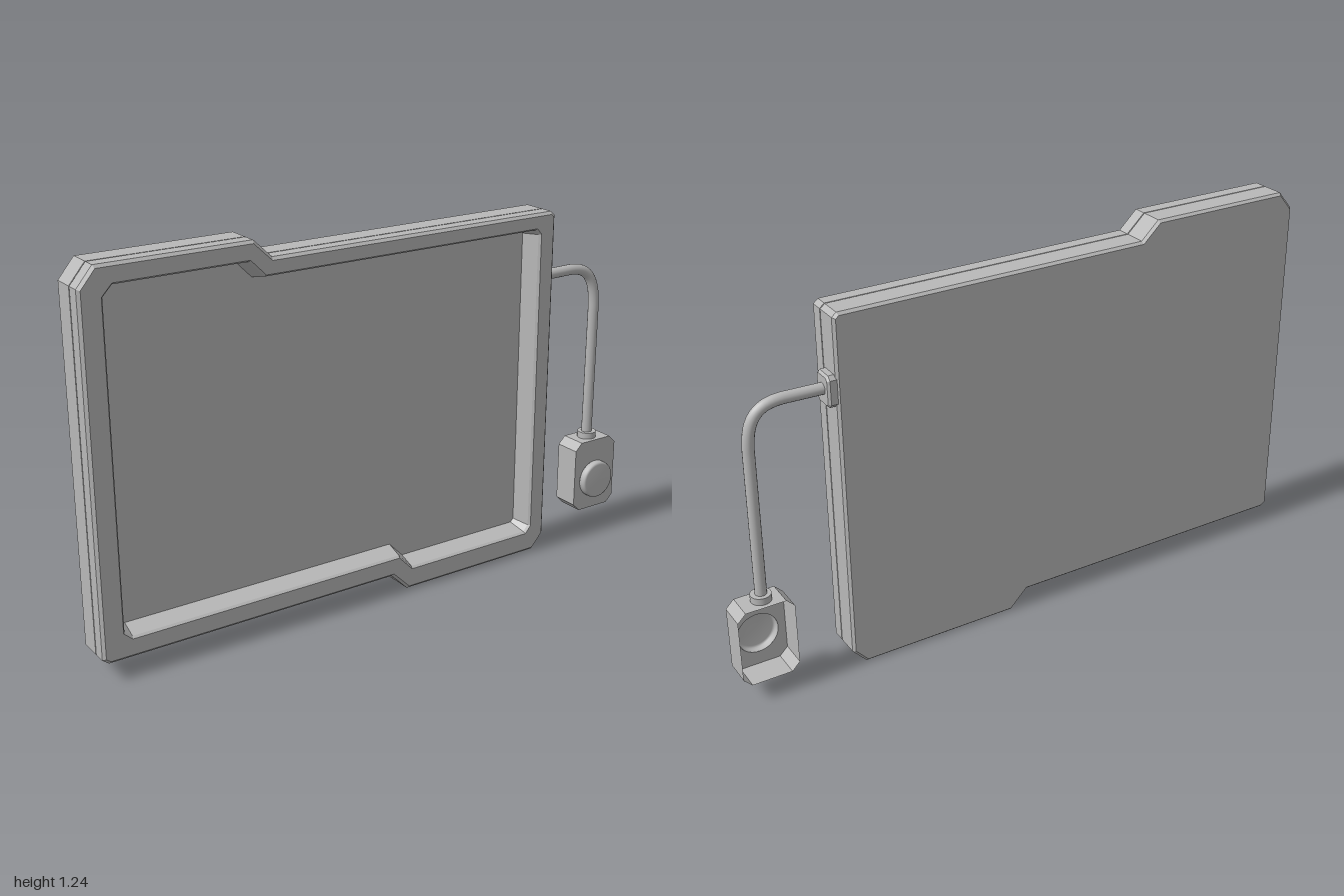
import * as THREE from 'three';

const V = (x, y) => new THREE.Vector2(x, y);

// Move every edge of a counter-clockwise outline inwards by d, with mitred corners.
function inset(points, d) {
  const n = points.length;
  return points.map((p, i) => {
    const e0 = p.clone().sub(points[(i + n - 1) % n]).normalize();
    const e1 = points[(i + 1) % n].clone().sub(p).normalize();
    const n0 = V(-e0.y, e0.x), n1 = V(-e1.y, e1.x);
    return p.clone().add(n0.clone().add(n1).multiplyScalar(d / (1 + n0.dot(n1))));
  });
}

// Join outlines, each { pts, z }, from back to front; optionally close the ends.
function loft(loops, capStart, capEnd) {
  const pos = [];
  const put = (l, i) => pos.push(l.pts[i].x, l.pts[i].y, l.z);
  for (let k = 0; k + 1 < loops.length; k++) {
    const a = loops[k], b = loops[k + 1], n = a.pts.length;
    for (let i = 0; i < n; i++) {
      const j = (i + 1) % n;
      put(a, i); put(a, j); put(b, j);
      put(a, i); put(b, j); put(b, i);
    }
  }
  const cap = (l, flip) => {
    for (const [a, b, c] of THREE.ShapeUtils.triangulateShape(l.pts, [])) {
      put(l, a); put(l, flip ? c : b); put(l, flip ? b : c);
    }
  };
  if (capStart) cap(loops[0], true);
  if (capEnd) cap(loops[loops.length - 1], false);
  const g = new THREE.BufferGeometry();
  g.setAttribute('position', new THREE.Float32BufferAttribute(pos, 3));
  g.computeVertexNormals();
  return g;
}

// Rectangle with cut corners, counter-clockwise.
function cutRect(w, h, c) {
  const x = w / 2, y = h / 2;
  return [V(-x + c, -y), V(x - c, -y), V(x, -y + c), V(x, y - c),
    V(x - c, y), V(-x + c, y), V(-x, y - c), V(-x, -y + c)];
}

export function createModel() {
  const model = new THREE.Group();
  const grey = new THREE.MeshStandardMaterial({ color: 0xb8b8b8, side: THREE.DoubleSide });
  grey.name = 'plain grey';
  const add = (name, geometry, x = 0, y = 0, z = 0) => {
    const m = new THREE.Mesh(geometry, grey);
    m.name = name;
    m.position.set(x, y, z);
    model.add(m);
    return m;
  };

  // Stepped panel outline and the opening in its frame
  const outer = [V(-0.98, 0.06), V(0.01, 0.06), V(0.07, 0), V(0.595, 0), V(0.64, 0.05),
    V(0.64, 1.165), V(0.625, 1.178), V(-0.405, 1.178), V(-0.465, 1.235), V(-0.95, 1.235),
    V(-1, 1.175), V(-1, 0.075)];
  const inner = [V(-0.905, 0.12), V(0.035, 0.12), V(0.085, 0.068), V(0.56, 0.068), V(0.582, 0.092),
    V(0.582, 1.11), V(0.565, 1.13), V(-0.43, 1.13), V(-0.48, 1.18), V(-0.9, 1.18),
    V(-0.933, 1.145), V(-0.933, 0.145)];
  const at = (pts, d, z) => ({ pts: inset(pts, d), z });

  add('backShell', loft([at(outer, 0.008, -0.064), at(outer, 0, -0.055),
    at(outer, 0, 0.016), at(outer, 0.005, 0.018)], true, false));
  add('frontFrame', loft([at(outer, 0.005, 0.018), at(outer, 0, 0.02), at(outer, 0, 0.061),
    at(outer, 0.009, 0.07), at(inner, 0, 0.07), at(inner, 0.006, 0.062), at(inner, 0.02, 0)],
  false, true));

  // Cable socket on the side of the panel
  const socket = cutRect(0.078, 0.1, 0.012);
  add('cableSocket', loft([at(socket, 0, -0.005), at(socket, 0, 0.018), at(socket, 0.007, 0.025)],
    false, true), 0.64, 0.94, -0.02).rotation.y = Math.PI / 2;

  // Hanging cable
  const path = new THREE.CurvePath();
  const P = (x, y, z) => new THREE.Vector3(x, y, z);
  path.add(new THREE.LineCurve3(P(0.65, 0.942, -0.02), P(0.78, 0.944, -0.018)));
  path.add(new THREE.CubicBezierCurve3(P(0.78, 0.944, -0.018), P(0.865, 0.945, -0.017),
    P(0.897, 0.905, -0.014), P(0.898, 0.8, -0.014)));
  path.add(new THREE.LineCurve3(P(0.898, 0.8, -0.014), P(0.905, 0.33, -0.024)));
  add('cable', new THREE.TubeGeometry(path, 60, 0.018, 16));
  add('cableCollar', new THREE.CylinderGeometry(0.032, 0.032, 0.026, 24), 0.906, 0.329, -0.024);

  // Hollow control box, open at the back, with a round hole for the button
  const bx = 0.91, by = 0.193;
  const box = cutRect(0.18, 0.254, 0.026);
  add('controlBoxSides', loft([at(box, 0, -0.07), at(box, 0, 0.021)], false, false), bx, by);
  const face = new THREE.Shape(box);
  const hole = new THREE.Path();
  hole.absarc(0, -0.018, 0.066, 0, Math.PI * 2, true);
  face.holes.push(hole);
  add('controlBoxFront', new THREE.ShapeGeometry(face, 32), bx, by, 0.021);

  // Push button with a softened rim
  const profile = [V(0.066, 0), V(0.066, 0.015), V(0.064, 0.021), V(0.058, 0.025), V(0, 0.025)];
  add('button', new THREE.LatheGeometry(profile, 40), bx, by - 0.018, 0.021).rotation.x = Math.PI / 2;

  return model;
}
